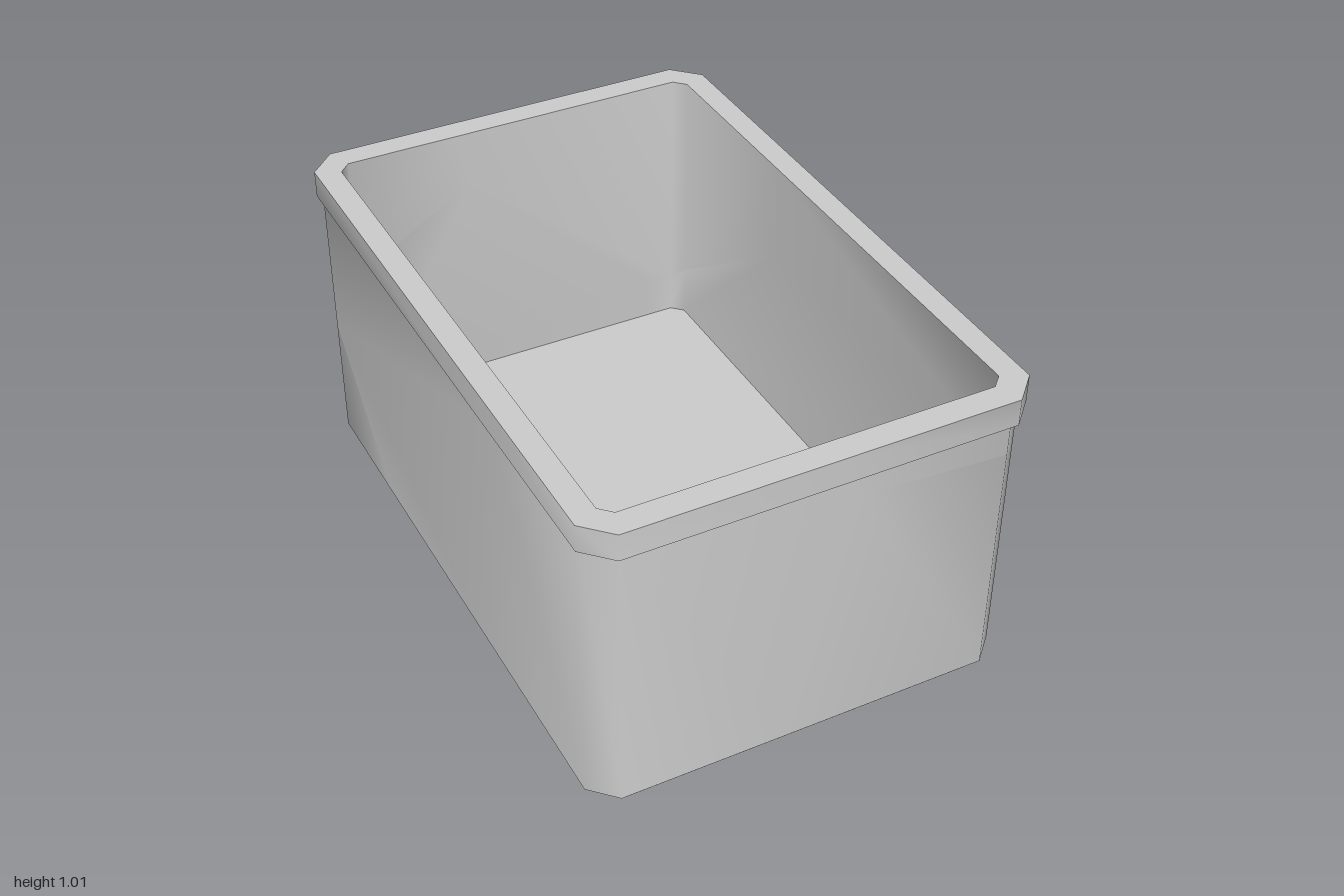
import * as THREE from 'three';
import { toCreasedNormals } from 'three/addons/utils/BufferGeometryUtils.js';

const material = new THREE.MeshStandardMaterial({ color: 0xcccccc });

// Chamfered rectangle outline, anticlockwise from the front wall (x right, z forward)
function outline(hx, hz, c) {
  return [
    [-hx + c, hz], [hx - c, hz], [hx, hz - c], [hx, -hz + c],
    [hx - c, -hz], [-hx + c, -hz], [-hx, -hz + c], [-hx, hz - c],
  ];
}
const RIM = outline(0.67, 1, 0.08);
const BODY = outline(0.655, 0.98, 0.075);
const FOOT = outline(0.615, 0.94, 0.065);
const INNER = outline(0.595, 0.92, 0.035);
const TOP = 1.015;

// Upright bands: outline, bottom, top, faces inward
const BANDS = [
  [FOOT, 0, 0.05, false],
  [BODY, 0.05, 0.93, false],
  [RIM, 0.93, TOP, false],
  [INNER, 0.12, TOP, true],
];

// Where each wall starts on the unrolled perimeter (the front wall comes round again)
const U = [0, 1.15, 1.25, 3.05, 3.15, 4.3, 4.4, 6.2, 6.3, 7.45];

// Seam corners on the unrolled walls: [distance round, height]
const P = {
  a: [0.505, 0], b: [0.705, 0.85], c: [0.635, TOP], d: [1.15, 0.82], e: [1.25, 0.76],
  f: [1.85, 0.32], g: [1.825, 0], h: [2.46, 0.69], i: [2.47, TOP], j: [3.05, 0.29],
  k: [3.15, 0.25], l: [3.24, 0.27], m: [3.24, 0], n: [3.895, 0.835], o: [3.95, TOP],
  p: [4.3, 0.6], q: [4.4, 0.45], r: [4.83, 0], s: [5.69, TOP], t: [5.49, 0],
  A: [6.805, 0], B: [7.005, 0.85], C: [6.935, TOP],
};
const SHARDS = {
  upperSideShard: 'cbdefhi',
  frontCornerShard: 'agfedb',
  lowerSideShard: 'gmlkjhf',
  upperBackShard: 'ihjklno',
  lowerBackShard: 'mrqpnl',
  backCornerShard: 'onpqrts',
  frontSideShard: 'tABCs',
};

// Keep the part of a polygon where sign * (coordinate - limit) >= 0
function clip(poly, axis, limit, sign) {
  const out = [];
  poly.forEach((p, n) => {
    const q = poly[(n + 1) % poly.length];
    const dp = sign * (p[axis] - limit), dq = sign * (q[axis] - limit);
    if (dp >= 0) out.push(p);
    if (dp * dq < 0) {
      const t = dp / (dp - dq);
      const x = [p[0] + (q[0] - p[0]) * t, p[1] + (q[1] - p[1]) * t];
      x[axis] = limit;
      out.push(x);
    }
  });
  return out.filter((p, n) => {
    const q = out[(n + 1) % out.length];
    return Math.hypot(p[0] - q[0], p[1] - q[1]) > 1e-6;
  });
}

const cross = (a, b, c) =>
  (b[0] - a[0]) * (c[1] - a[1]) - (b[1] - a[1]) * (c[0] - a[0]);

// One shard: its polygon cut to every wall of every band and folded into place
function shardGeometry(poly) {
  const positions = [];
  for (const [ring, y0, y1, inward] of BANDS) {
    for (let w = 0; w < 9; w++) {
      let piece = clip(clip(poly, 0, U[w], 1), 0, U[w + 1], -1);
      piece = clip(clip(piece, 1, y0, 1), 1, y1, -1);
      if (piece.length < 3) continue;
      const from = ring[w % 8], to = ring[(w + 1) % 8];
      const fold = ([u, y]) => {
        const t = (u - U[w]) / (U[w + 1] - U[w]);
        return [from[0] + (to[0] - from[0]) * t, y, from[1] + (to[1] - from[1]) * t];
      };
      const flat = piece.map(([u, y]) => new THREE.Vector2(u, y));
      for (const tri of THREE.ShapeUtils.triangulateShape(flat, [])) {
        const [a, b, c] = tri.map((n) => piece[n]);
        const area = cross(a, b, c);
        if (Math.abs(area) < 1e-7) continue;
        const order = (area > 0) !== inward ? [a, b, c] : [a, c, b];
        for (const corner of order) positions.push(...fold(corner));
      }
    }
  }
  const geometry = new THREE.BufferGeometry();
  geometry.setAttribute('position', new THREE.Float32BufferAttribute(positions, 3));
  return toCreasedNormals(geometry, Math.PI / 3);
}

// Level face at height y, with an optional hole, facing up or down
function levelFace(name, outer, hole, y, up) {
  const points = (ring) => ring.map(([x, z]) => new THREE.Vector2(x, -z));
  const shape = new THREE.Shape(points(outer));
  if (hole) shape.holes.push(new THREE.Path(points(hole)));
  const geometry = new THREE.ShapeGeometry(shape);
  geometry.rotateX(up ? -Math.PI / 2 : Math.PI / 2);
  geometry.translate(0, y, 0);
  const mesh = new THREE.Mesh(geometry, material);
  mesh.name = name;
  return mesh;
}

export function createModel() {
  const model = new THREE.Group();
  model.name = 'crackedContainer';

  // Walls, foot and rim, broken into shards
  for (const [name, corners] of Object.entries(SHARDS)) {
    const mesh = new THREE.Mesh(shardGeometry([...corners].map((k) => P[k])), material);
    mesh.name = name;
    model.add(mesh);
  }

  // Level surfaces
  model.add(
    levelFace('rimTop', RIM, INNER, TOP, true),
    levelFace('rimUnderside', RIM, BODY, 0.93, false),
    levelFace('bodyUnderside', BODY, FOOT, 0.05, false),
    levelFace('footBottom', FOOT, null, 0, false),
    levelFace('insideFloor', INNER, null, 0.12, true),
  );
  return model;
}
